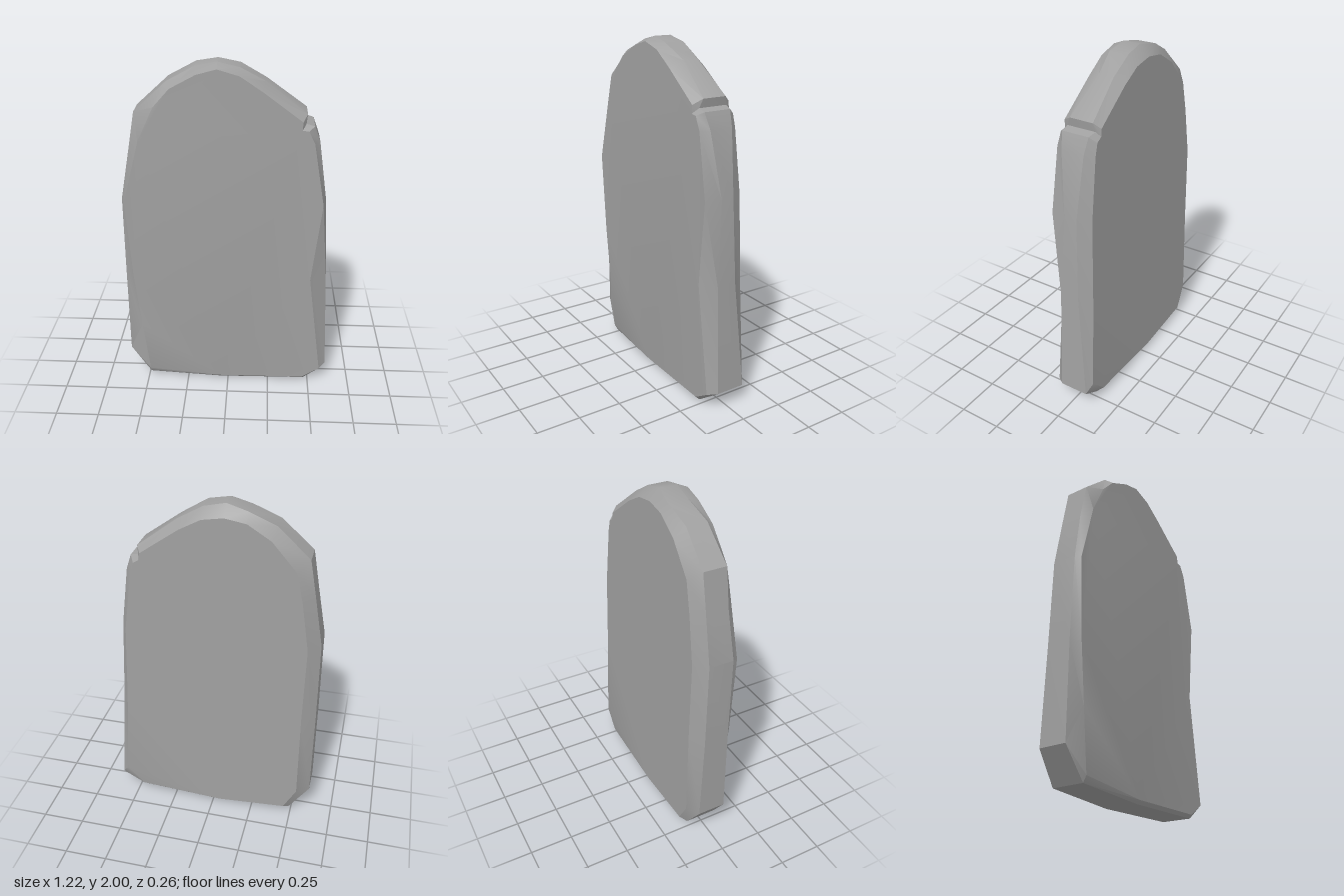
import * as THREE from 'three';
import { toCreasedNormals } from 'three/addons/utils/BufferGeometryUtils.js';

// Outlines run counter-clockwise as seen from the front, starting at bottom centre.
// Edge of the front face: x, y
const FRONT = [
  [-0.05, 0.025], [0.46, 0.03], [0.565, 0.1], [0.48, 0.74], [0.53, 1.22], [0.465, 1.58],
  [0.43, 1.65], [0.395, 1.655], [0.397, 1.7], [0.18, 1.86], [0.06, 1.94], [-0.06, 1.975],
  [-0.17, 1.945], [-0.31, 1.87], [-0.4, 1.77], [-0.49, 1.58], [-0.585, 1.22], [-0.56, 0.74],
  [-0.525, 0.4], [-0.49, 0.065],
];
// Outer rim: x, y, front z, back z
const RIM = [
  [-0.05, 0.005, 0.1, -0.1], [0.47, 0.012, 0.1, -0.08], [0.605, 0.11, 0.07, -0.1],
  [0.575, 0.74, 0.065, -0.05], [0.55, 1.22, 0.035, -0.04], [0.495, 1.58, 0.075, -0.06],
  [0.462, 1.67, 0.09, -0.07], [0.415, 1.683, 0.09, -0.08], [0.422, 1.73, 0.07, -0.07],
  [0.2, 1.895, 0.04, -0.05], [0.06, 1.975, 0.065, -0.05], [-0.06, 2, 0.055, -0.045],
  [-0.18, 1.975, 0.045, -0.07], [-0.33, 1.9, 0.075, -0.045], [-0.51, 1.735, 0.085, -0.05],
  [-0.55, 1.52, 0.08, -0.05], [-0.602, 1.23, 0.095, -0.05], [-0.608, 0.74, 0.085, -0.06],
  [-0.61, 0.2, 0.085, -0.08], [-0.49, 0.03, 0.1, -0.09],
];
// Edge of the back face: x, y
const BACK = [
  [-0.05, 0.03], [0.46, 0.06], [0.565, 0.17], [0.53, 0.74], [0.51, 1.22], [0.46, 1.57],
  [0.44, 1.64], [0.405, 1.66], [0.4, 1.7], [0.18, 1.855], [0.06, 1.92], [-0.06, 1.94],
  [-0.18, 1.92], [-0.31, 1.84], [-0.45, 1.68], [-0.49, 1.5], [-0.535, 1.22], [-0.53, 0.74],
  [-0.535, 0.2], [-0.46, 0.06],
];

// The slab tapers slightly towards the top
const frontZ = (y) => 0.128 - 0.008 * Math.abs(y - 1.2) - 0.006 * Math.max(0, y - 1.2);
const backZ = (y) => -0.128 + 0.013 * y;

function slabGeometry() {
  const rings = [
    FRONT.map(([x, y]) => [x, y, frontZ(y)]),
    RIM.map(([x, y, zf]) => [x, y, zf]),
    RIM.map(([x, y, , zb]) => [x, y, zb]),
    BACK.map(([x, y]) => [x, y, backZ(y)]),
  ];
  const n = FRONT.length;
  const index = [];

  // Bevels and sides between neighbouring rings
  for (let r = 0; r < rings.length - 1; r++) {
    for (let i = 0; i < n; i++) {
      const j = (i + 1) % n;
      const a = r * n + i, b = r * n + j, c = a + n, d = b + n;
      index.push(a, c, b, b, c, d);
    }
  }

  // Front and back faces
  const cap = (ring, start, flip) => {
    const outline = ring.map(([x, y]) => new THREE.Vector2(x, y));
    for (const [a, b, c] of THREE.ShapeUtils.triangulateShape(outline, [])) {
      index.push(start + a, start + (flip ? c : b), start + (flip ? b : c));
    }
  };
  cap(rings[0], 0, false);
  cap(rings[3], 3 * n, true);

  const geometry = new THREE.BufferGeometry();
  geometry.setAttribute('position', new THREE.Float32BufferAttribute(rings.flat(2), 3));
  geometry.setIndex(index);
  return toCreasedNormals(geometry, 0.5);
}

export function createModel() {
  const stone = new THREE.MeshStandardMaterial({ color: 0xa0a0a0 });
  stone.name = 'grey stone';

  const slab = new THREE.Mesh(slabGeometry(), stone);
  slab.name = 'stoneSlab';

  const model = new THREE.Group();
  model.name = 'weatheredHeadstone';
  model.add(slab);

  // Stand on the ground, centred
  const box = new THREE.Box3().setFromObject(model);
  const centre = box.getCenter(new THREE.Vector3());
  slab.position.set(-centre.x, -box.min.y, -centre.z);
  return model;
}
